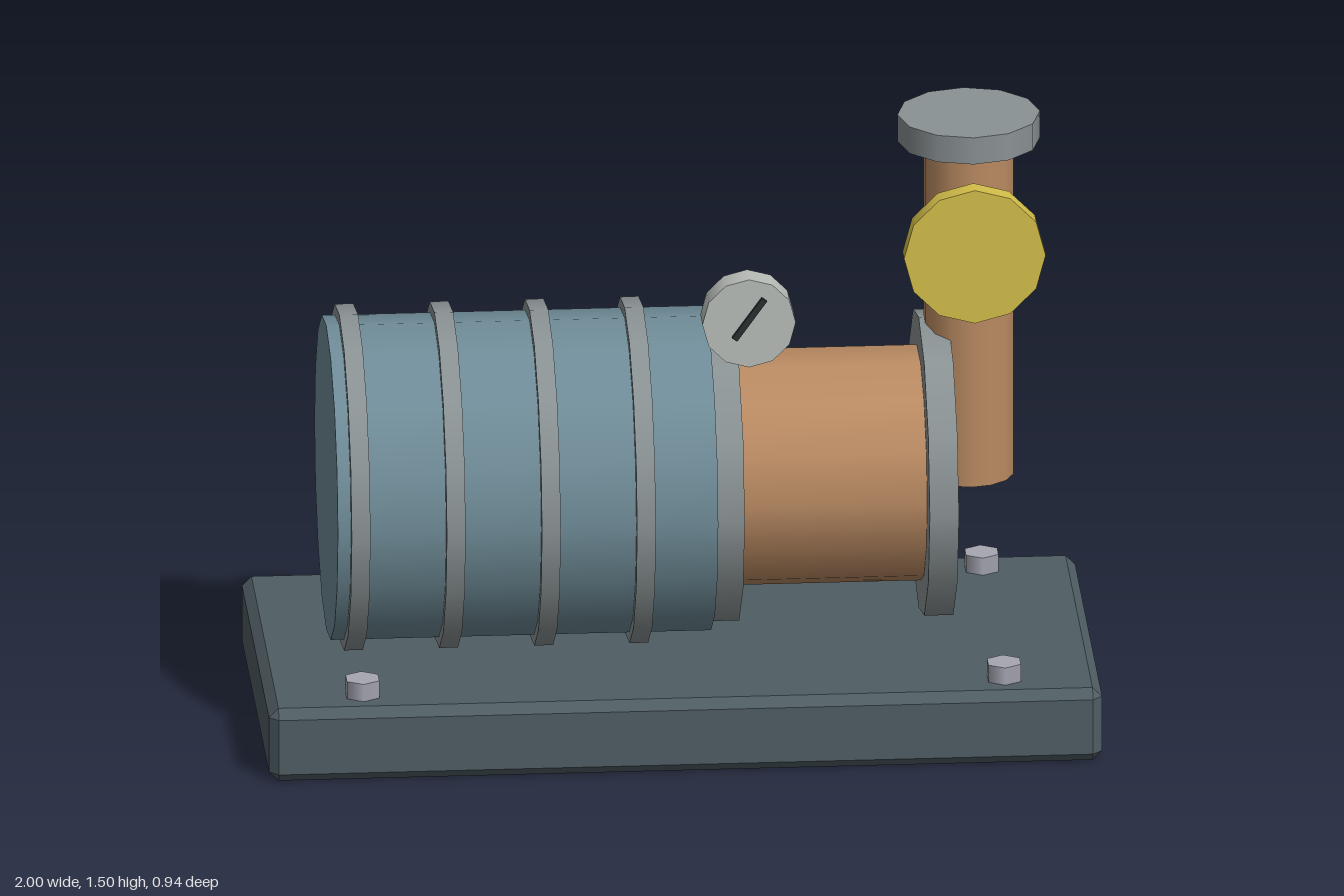
import * as THREE from 'three';
import { ConvexGeometry } from 'three/addons/geometries/ConvexGeometry.js';

const paint = (color) => new THREE.MeshStandardMaterial({ color });

export function createModel() {
  const model = new THREE.Group();
  const slate = paint(0x4f5d63), blue = paint(0x6f8c98), steel = paint(0x8a9294);
  const copper = paint(0xb98a62), gold = paint(0xd4bf4a), dial = paint(0xb9bdb8);
  const boltGrey = paint(0xa6a6b2), dark = paint(0x2a2e30);

  const add = (name, geometry, material, x, y, z) => {
    const mesh = new THREE.Mesh(geometry, material);
    mesh.name = name;
    mesh.position.set(x, y, z);
    model.add(mesh);
    return mesh;
  };
  // Cylinders lying along x, standing along y, or facing z, given by their two ends
  const axisY = 0.603;
  const alongX = (name, r, x0, x1, sides, material) =>
    add(name, new THREE.CylinderGeometry(r, r, x1 - x0, sides).rotateZ(Math.PI / 2), material, (x0 + x1) / 2, axisY, 0);
  const alongY = (name, r, y0, y1, sides, material, x, z) =>
    add(name, new THREE.CylinderGeometry(r, r, y1 - y0, sides), material, x, (y0 + y1) / 2, z);
  const alongZ = (name, r, z0, z1, sides, material, x, y) =>
    add(name, new THREE.CylinderGeometry(r, r, z1 - z0, sides).rotateX(Math.PI / 2), material, x, y, (z0 + z1) / 2);

  // Base plate with every edge chamfered
  const hx = 1, hy = 0.0925, hz = 0.47, c = 0.023;
  const corners = [];
  for (const sx of [-1, 1]) for (const sy of [-1, 1]) for (const sz of [-1, 1]) {
    corners.push(
      new THREE.Vector3(sx * hx, sy * (hy - c), sz * (hz - c)),
      new THREE.Vector3(sx * (hx - c), sy * hy, sz * (hz - c)),
      new THREE.Vector3(sx * (hx - c), sy * (hy - c), sz * hz));
  }
  add('basePlate', new ConvexGeometry(corners), slate, 0, hy, 0);

  // Hexagonal bolts near the plate corners
  for (const x of [-0.77, 0.77]) for (const z of [-0.372, 0.372]) {
    alongY('bolt', 0.045, 0.175, 0.229, 6, boltGrey, x, z);
  }

  // Motor body with cooling fins
  alongX('motorBody', 0.389, -0.83, 0.083, 16, blue);
  for (let i = 0; i < 4; i++) {
    const x = -0.776 + i * 0.2283;
    alongX('coolingFin', 0.415, x - 0.0225, x + 0.0225, 16, steel);
  }

  // Pump barrel between two flanges
  alongX('innerFlange', 0.372, 0.08, 0.148, 12, steel);
  alongX('pumpBarrel', 0.285, 0.14, 0.6, 14, copper);
  alongX('outerFlange', 0.372, 0.592, 0.662, 12, steel);

  // Outlet pipe with its top flange and valve wheel
  alongY('outletPipe', 0.109, 0.577, 1.43, 14, copper, 0.712, 0);
  alongY('pipeFlange', 0.171, 1.427, 1.495, 12, steel, 0.712, 0);
  alongZ('valveWheel', 0.17, 0.158, 0.208, 12, gold, 0.712, 1.204);

  // Pressure gauge and needle
  alongZ('gauge', 0.112, 0.166, 0.236, 12, dial, 0.168, 1.059);
  const needle = add('gaugeNeedle', new THREE.BoxGeometry(0.015, 0.123, 0.01), dark, 0.168, 1.073, 0.245);
  needle.rotation.z = -0.62;

  return model;
}
